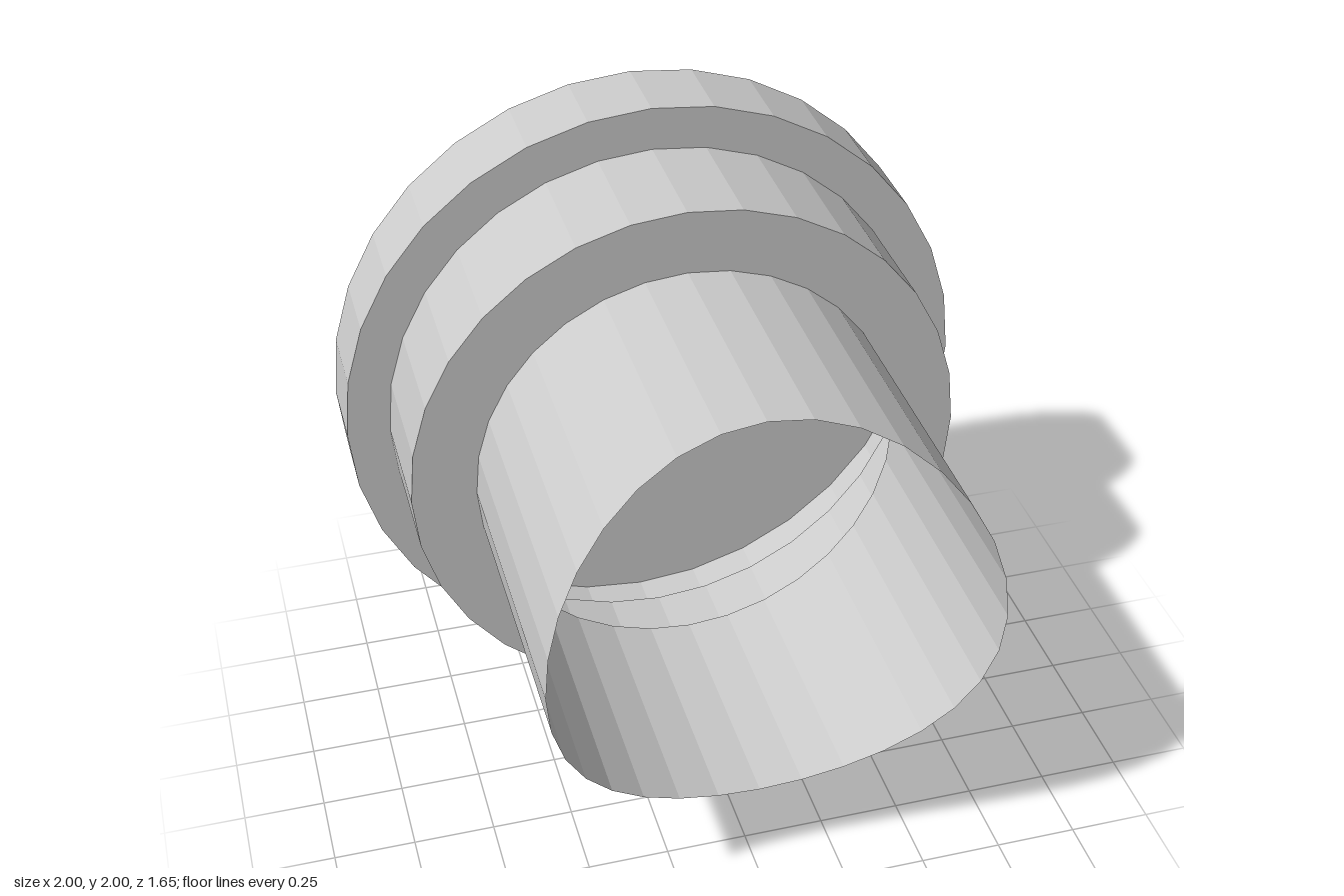
import * as THREE from 'three';

const SIDES = 32;
const BACK = -0.825, FLANGE_FRONT = -0.56, COLLAR_FRONT = -0.155;
const FLANGE_R = 1, COLLAR_R = 0.865, PIPE_R = 0.665;
const SADDLE_R = 1.32, SADDLE_Z = 0.645;

const material = new THREE.MeshStandardMaterial({
  color: 0xcccccc, flatShading: true, side: THREE.DoubleSide,
});

// Thin turned shell along z from [radius, z] pairs, ordered back to front
function shell(name, profile) {
  const points = profile.map(([r, z]) => new THREE.Vector2(r, z));
  const geometry = new THREE.LatheGeometry(points, SIDES).rotateX(Math.PI / 2);
  const mesh = new THREE.Mesh(geometry, material);
  mesh.name = name;
  mesh.position.y = 1;
  return mesh;
}

export function createModel() {
  const group = new THREE.Group();
  group.name = 'steppedSaddlePipe';

  // Closed back disc, rim and the step down to the collar
  group.add(shell('flange', [
    [0, BACK], [FLANGE_R, BACK], [FLANGE_R, FLANGE_FRONT], [COLLAR_R, FLANGE_FRONT],
  ]));

  // Hollow collar and the step down to the pipe
  group.add(shell('collar', [
    [COLLAR_R, FLANGE_FRONT], [COLLAR_R, COLLAR_FRONT], [PIPE_R, COLLAR_FRONT],
  ]));

  // Open pipe, its mouth cut to fit around an upright cylinder
  const pipe = shell('pipe', [[PIPE_R, COLLAR_FRONT], [PIPE_R, SADDLE_Z]]);
  const p = pipe.geometry.attributes.position;
  for (let i = 0; i < p.count; i++) {
    if (p.getZ(i) < 0) continue;
    const x = p.getX(i);
    p.setZ(i, SADDLE_Z + SADDLE_R - Math.sqrt(SADDLE_R ** 2 - x * x));
  }
  pipe.geometry.computeVertexNormals();
  group.add(pipe);

  return group;
}
